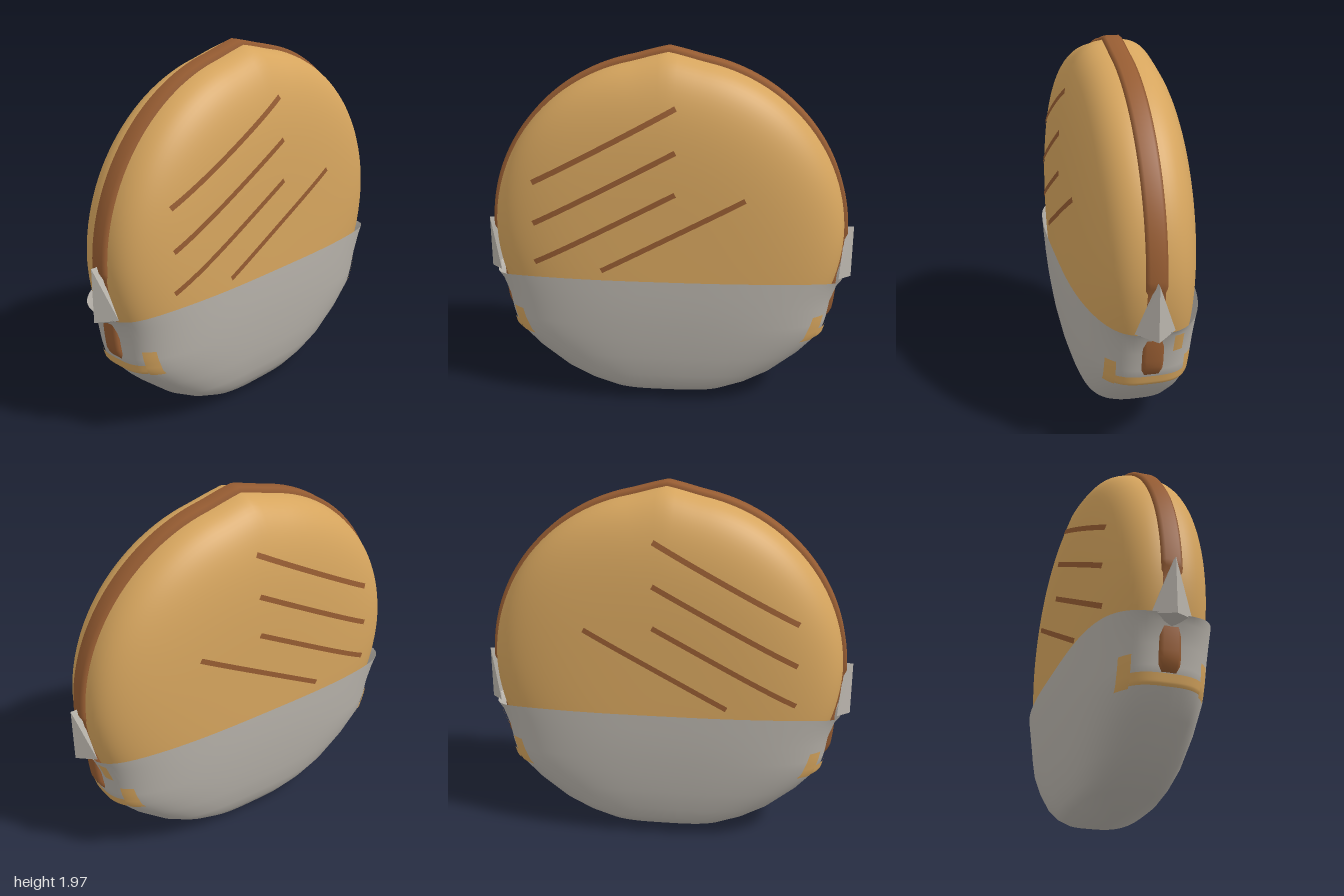
import * as THREE from 'three';
import { mergeVertices } from 'three/addons/utils/BufferGeometryUtils.js';

const CY = 0.97;      // height of the bun centre
const RB = 0.945;     // bun radius
const N = 3.2;        // squareness of the wrapper sections

// Piecewise linear lookup: rows of [key, value, value...]
function lookup(rows, key) {
  let i = 1;
  while (i < rows.length - 1 && rows[i][0] < key) i++;
  const a = rows[i - 1], b = rows[i];
  const t = THREE.MathUtils.clamp((key - a[0]) / (b[0] - a[0]), 0, 1);
  return a.map((v, j) => v + (b[j] - v) * t);
}

// Smooth surface from a function of (u, v) in 0..1; front side is dU x dV
function grid(nu, nv, fn, flip = false) {
  const pos = [], idx = [];
  for (let j = 0; j <= nv; j++)
    for (let i = 0; i <= nu; i++) pos.push(...fn(i / nu, j / nv));
  for (let j = 0; j < nv; j++)
    for (let i = 0; i < nu; i++) {
      const a = j * (nu + 1) + i, b = a + 1, d = a + nu + 1, c = d + 1;
      idx.push(...(flip ? [a, c, b, a, d, c] : [a, b, c, a, c, d]));
    }
  let g = new THREE.BufferGeometry();
  g.setAttribute('position', new THREE.Float32BufferAttribute(pos, 3));
  g.setIndex(idx);
  g = mergeVertices(g, 1e-5);
  g.computeVertexNormals();
  return g;
}

// Small point at the top of the outline
const peak = th => Math.sin(th) > 0
  ? 0.03 * Math.pow(Math.max(0, 1 - Math.abs(Math.cos(th)) / 0.2), 1.4) : 0;

// Bun dome height at relative radius k
const dome = k => 0.295 * Math.pow(Math.max(0, 1 - Math.pow(k, 4)), 0.35);

// Filling radius by degrees below the horizontal
const FILL = [[0, 0.965], [2, 0.95], [15, 0.95], [22, 0.985], [27, 1.01],
  [30, 1.0], [34, 0.93], [40, 0.9], [90, 0.9]];

// Wrapper sections: height, half width, half depth
const WRAP = [[0, 0, 0], [0.008, 0.12, 0.04], [0.02, 0.2, 0.085], [0.06, 0.36, 0.19],
  [0.11, 0.48, 0.222], [0.18, 0.6, 0.25], [0.3, 0.745, 0.276], [0.42, 0.855, 0.292],
  [0.5, 0.875, 0.302], [0.6, 0.89, 0.312], [0.7, 0.925, 0.318], [0.78, 0.95, 0.322]];

export function createModel() {
  const model = new THREE.Group();
  const mat = (name, color, side = THREE.FrontSide) => {
    const m = new THREE.MeshStandardMaterial({ color, side });
    m.name = name;
    return m;
  };
  const bread = mat('golden bread', 0xd6a55e);
  const brown = mat('brown filling', 0x965c32);
  const paper = mat('grey paper', 0xb9b4ac, THREE.DoubleSide);
  const add = (name, geo, m) => {
    const mesh = new THREE.Mesh(geo, m);
    mesh.name = name;
    model.add(mesh);
  };

  // Two bun halves, each with the same toasted stripes
  const stripes = [[-0.7, 1.29], [-0.7, 1.07], [-0.7, 0.85], [-0.34, 0.825]];
  for (const s of [1, -1]) {
    const side = s > 0 ? 'front' : 'back';
    add(side + 'Bun', grid(120, 28, (u, v) => {
      const th = u * Math.PI * 2, k = Math.cos(v * Math.PI / 2);
      const low = 0.02 * Math.max(0, -Math.sin(th));
      const r = k * (RB + (peak(th) - low) * Math.pow(k, 4));
      return [r * Math.cos(th), CY + r * Math.sin(th), s * dome(k)];
    }, s < 0), bread);

    const dir = new THREE.Vector2(0.75, 0.41), n = new THREE.Vector2(-0.41, 0.75).normalize();
    for (const [x0, y0] of stripes)
      add(side + 'ToastStripe', grid(24, 2, (u, v) => {
        const x = x0 + dir.x * u + n.x * (v - 0.5) * 0.028;
        const y = y0 + dir.y * u + n.y * (v - 0.5) * 0.028;
        return [x, y, s * (dome(Math.hypot(x, y - CY) / RB) + 0.006)];
      }, s < 0), brown);
  }

  // Filling ring between the halves
  const section = [[-0.08, -0.052], [-0.015, -0.052], [0, -0.035],
    [0, 0.035], [-0.015, 0.052], [-0.08, 0.052]];
  add('filling', grid(180, 5, (u, v) => {
    const th = u * Math.PI * 2;
    const below = -Math.asin(Math.sin(th)) * 180 / Math.PI;
    const [dr, z] = section[Math.round(v * 5)];
    const r = lookup(FILL, Math.max(0, below))[1] + peak(th) + dr;
    return [r * Math.cos(th), CY + r * Math.sin(th), z];
  }), brown);

  // Paper wrapper, its rim dipping at the sides
  const power = c => Math.sign(c) * Math.pow(Math.abs(c), 2 / N);
  const rows = WRAP.length - 1;
  add('wrapper', grid(120, rows, (u, v) => {
    const [y, w, d] = WRAP[Math.round(v * rows)];
    const cx = power(Math.cos(u * Math.PI * 2)), cz = power(Math.sin(u * Math.PI * 2));
    const dip = v === 1 ? 0.05 * Math.pow(Math.abs(cx), 6) : 0;
    return [w * cx, y - dip, d * cz];
  }, true), paper);

  // Bread showing through the paper, as thin patches on its surface
  const patch = (s, z0, z1, y0, y1) => add('breadPatch', grid(20, 6, (u, v) => {
    const z = z0 + (z1 - z0) * u, y = y0 + (y1 - y0) * v;
    const [, w, d] = lookup(WRAP, y);
    return [s * (w * Math.pow(1 - Math.pow(Math.abs(z) / d, N), 1 / N) + 0.008), y, z];
  }, s > 0), bread);

  for (const s of [1, -1]) {
    patch(s, -0.17, 0.17, 0.41, 0.465);
    patch(s, 0.17, 0.215, 0.4, 0.55);
    patch(s, -0.215, -0.17, 0.4, 0.55);

    // Pinched paper corner standing up at each side
    const tip = [s, 1, 0], inner = [s * 0.955, 1, 0], foot = [s, 0.71, 0];
    const flap = [];
    for (const q of [1, -1]) {
      const root = [s * 0.925, 0.73, q * 0.1];
      const tris = [[tip, root, foot], [tip, inner, root], [foot, root, [s * 0.92, 0.68, 0]]];
      for (const t of tris) flap.push(...(s * q > 0 ? t : [t[0], t[2], t[1]]).flat());
    }
    const g = new THREE.BufferGeometry();
    g.setAttribute('position', new THREE.Float32BufferAttribute(flap, 3));
    g.computeVertexNormals();
    add(s > 0 ? 'leftPaperCorner' : 'rightPaperCorner', g, paper);
  }
  patch(1, -0.15, -0.1, 0.6, 0.7);

  return model;
}
